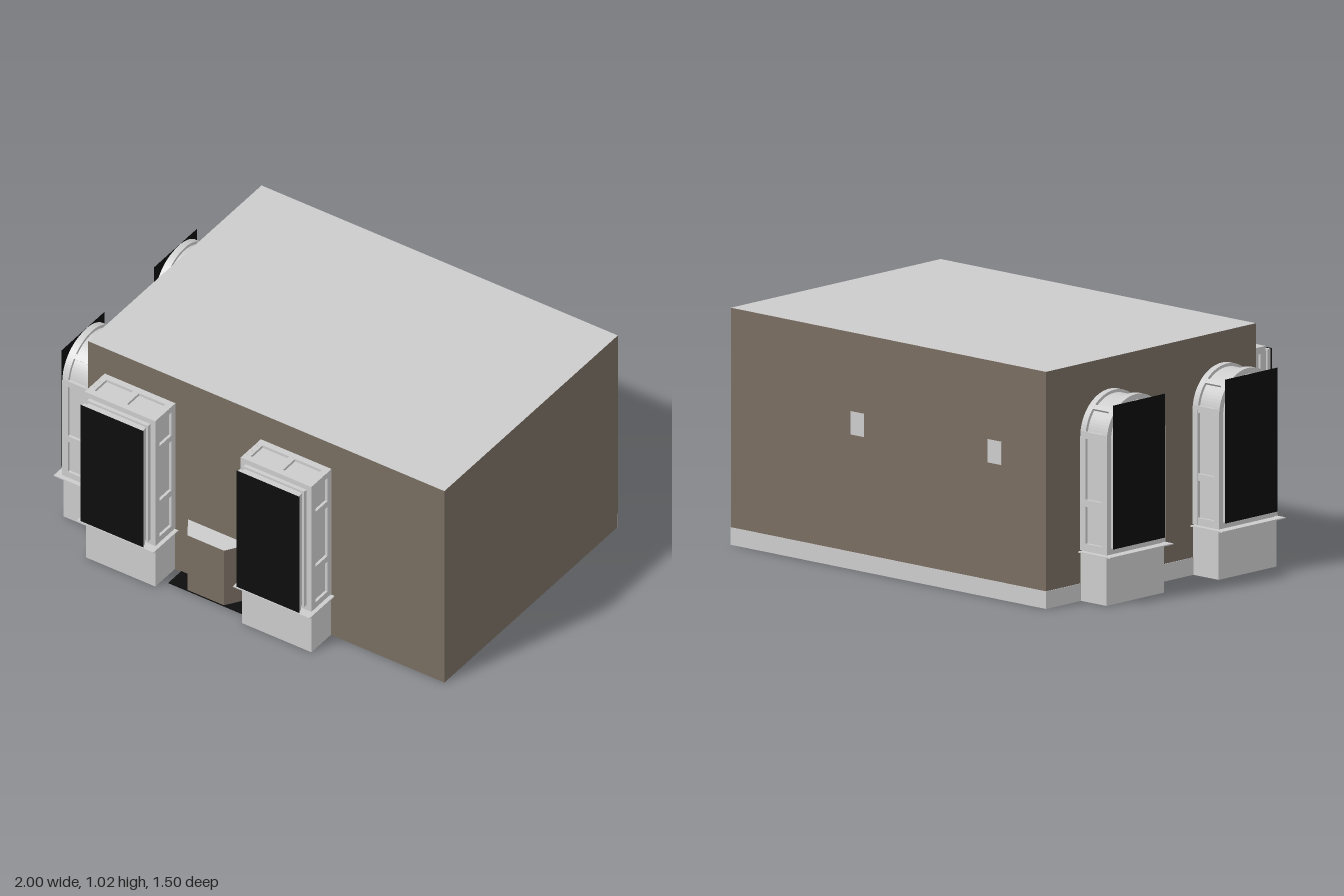
import * as THREE from 'three';

const grey = new THREE.MeshStandardMaterial({ color: 0xcccccc });
const brown = new THREE.MeshStandardMaterial({ color: 0x786d61 });
const black = new THREE.MeshStandardMaterial({ color: 0x0d0d0d, side: THREE.DoubleSide });

function add(parent, name, geometry, material = grey) {
  const mesh = new THREE.Mesh(geometry, material);
  mesh.name = name;
  parent.add(mesh);
  return mesh;
}

// Box given by its minimum and maximum corners
function box(parent, name, [x0, y0, z0], [x1, y1, z1], material) {
  const mesh = add(parent, name, new THREE.BoxGeometry(x1 - x0, y1 - y0, z1 - z0), material);
  mesh.position.set((x0 + x1) / 2, (y0 + y1) / 2, (z0 + z1) / 2);
  return mesh;
}

const HALF = 0.18, BOTTOM = 0.22, TOP = 0.885, SPRING = TOP - HALF;

// Window outline, square or round headed, drawn in by an inset
function outline(arched, inset) {
  const s = new THREE.Shape(), w = HALF - inset;
  s.moveTo(-w, BOTTOM + inset);
  s.lineTo(w, BOTTOM + inset);
  if (arched) {
    s.lineTo(w, SPRING);
    s.absarc(0, SPRING, w, 0, Math.PI, false);
  } else {
    s.lineTo(w, TOP - inset);
    s.lineTo(-w, TOP - inset);
  }
  s.closePath();
  return s;
}

function slab(parent, name, arched, inset, z0, z1) {
  const g = new THREE.ExtrudeGeometry(outline(arched, inset), {
    depth: z1 - z0, bevelEnabled: false, curveSegments: 20,
  });
  add(parent, name, g).position.z = z0;
}

// Bay window: local +z points away from the wall
function bayWindow(name, arched, depth, sheetZ) {
  const win = new THREE.Group();
  win.name = name;
  box(win, 'base', [-0.177, 0, 0], [0.177, 0.21, depth - 0.005]);
  box(win, 'sill', [-0.195, 0.21, 0], [0.195, 0.215, 0.185]);
  box(win, 'neck', [-0.17, 0.215, 0], [0.17, 0.24, depth - 0.01]);

  // Recessed core between two rims
  slab(win, 'core', arched, 0.013, 0, depth);
  slab(win, 'backRim', arched, 0, 0, 0.03);
  slab(win, 'frontRim', arched, 0, depth - 0.03, depth);

  // Cross bars that divide the recessed panels
  const bar = (x, y, angle, width = 0.03) => {
    const m = add(win, 'panelBar', new THREE.BoxGeometry(0.014, width, depth - 0.01));
    m.position.set(x, y, depth / 2);
    m.rotation.z = angle;
  };
  const edge = HALF - 0.0075;
  for (const s of [-1, 1]) {
    for (const y of [0.235, 0.425, 0.717]) bar(s * edge, y, 0);
    if (!arched) bar(s * edge, 0.87, 0);
  }
  if (arched) {
    for (const a of [Math.PI / 4, Math.PI * 3 / 4])
      bar(edge * Math.cos(a), SPRING + edge * Math.sin(a), a, 0.022);
  } else {
    for (const x of [-0.165, 0, 0.165]) bar(x, TOP - 0.0075, Math.PI / 2);
  }

  // Stepped surround and dark pane
  const steps = arched ? 1 : 3;
  const step = (sheetZ - depth) / steps;
  for (let i = 0; i < steps; i++)
    slab(win, 'surround', arched, i === 1 ? 0.034 : 0.025, depth + i * step, depth + (i + 1) * step - 0.002);
  const pane = add(win, 'pane', new THREE.PlaneGeometry(0.32, 0.62), black);
  pane.position.set(0, 0.553, sheetZ);
  return win;
}

export function createModel() {
  const model = new THREE.Group();
  model.name = 'building';

  // Main block with brown walls, grey roof and floor
  box(model, 'mainBlock', [-0.815, 0, -0.75], [1, 1.02, 0.54],
    [brown, brown, grey, grey, brown, brown]);

  // Skirting on the back, the side and the front corner
  box(model, 'backSkirting', [-0.818, 0, -0.753], [1, 0.075, -0.745]);
  box(model, 'sideSkirting', [-0.818, 0, -0.75], [-0.81, 0.075, 0.54]);
  box(model, 'frontSkirting', [-0.818, 0, 0.535], [-0.755, 0.075, 0.543]);

  // Small plates on the back wall
  for (const x of [0.27, -0.52])
    box(model, 'backPlate', [x - 0.038, 0.58, -0.753], [x + 0.038, 0.68, -0.745]);

  // Square windows at the front
  for (const x of [-0.55, 0.245]) {
    const win = bayWindow('frontWindow', false, 0.15, 0.21);
    win.position.set(x, 0, 0.54);
    model.add(win);
  }

  // Round-headed windows on the side
  for (const z of [-0.36, 0.33]) {
    const win = bayWindow('sideWindow', true, 0.153, 0.17);
    win.position.set(-0.815, 0, z);
    win.rotation.y = -Math.PI / 2;
    model.add(win);
  }

  // Tapered block between the front windows, on a dark mat
  const taper = new THREE.Shape([[-0.31, -0.535], [0.005, -0.535], [-0.06, -0.632], [-0.245, -0.632]]
    .map(([x, y]) => new THREE.Vector2(x, y)));
  const block = add(model, 'entranceBlock',
    new THREE.ExtrudeGeometry(taper, { depth: 0.295, bevelEnabled: false }), [grey, brown]);
  block.rotation.x = -Math.PI / 2;
  box(model, 'mat', [-0.34, 0, 0.535], [0.04, 0.004, 0.635], black);

  return model;
}
